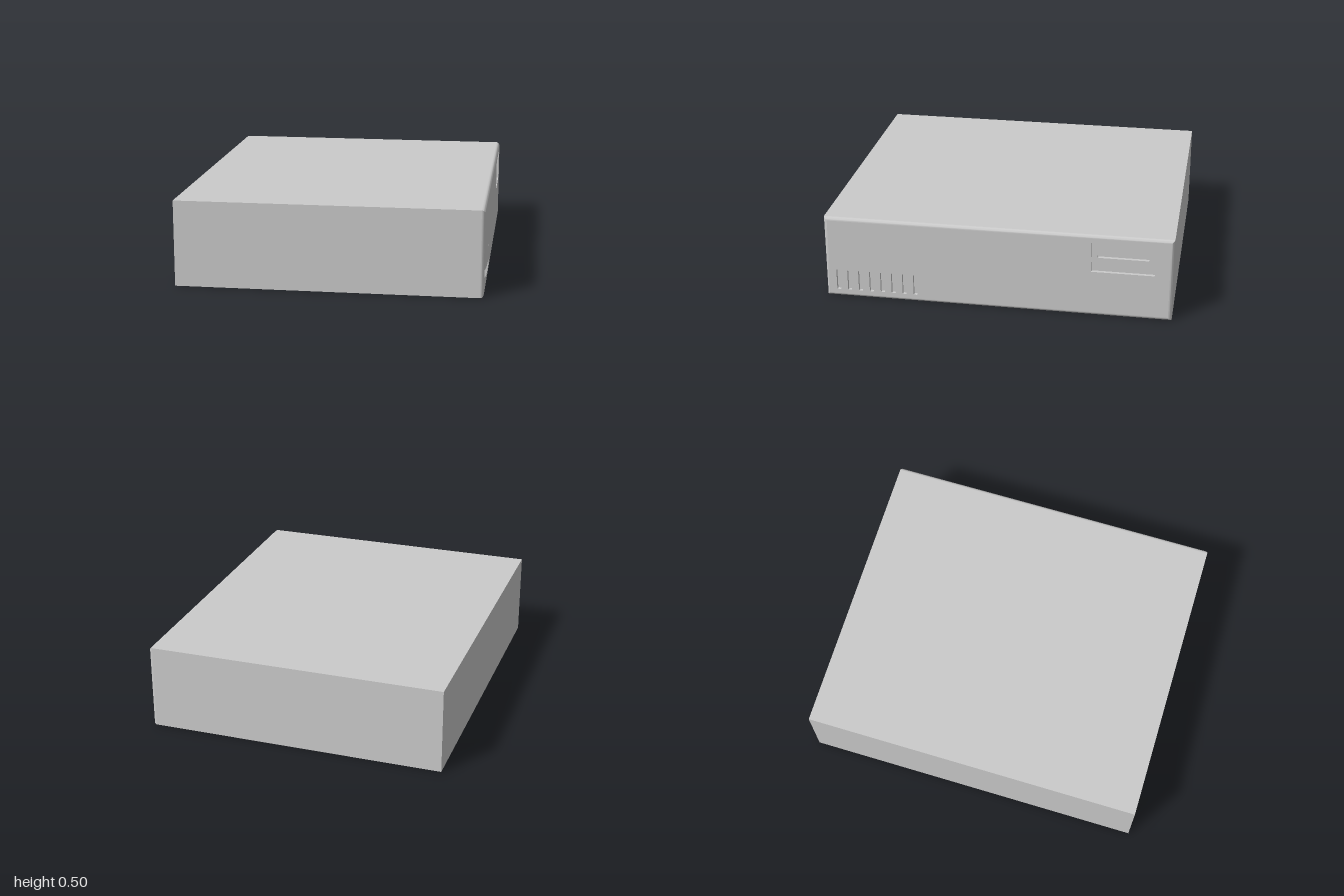
import * as THREE from 'three';
import { toCreasedNormals } from 'three/addons/utils/BufferGeometryUtils.js';

const X = 0.87, H = 0.495, Z = 1; // half width, height, half length
const R = 0.02;                   // edge rounding and recess depth

const material = new THREE.MeshStandardMaterial({ color: 0xcccccc });

function add(group, name, geometry) {
  const mesh = new THREE.Mesh(geometry, material);
  mesh.name = name;
  group.add(mesh);
}

// Rectangle on the side wall (u = -z, v = y) with optional round corners
function rect(path, u0, v0, u1, v1, r = 0) {
  if (!r) {
    path.moveTo(u0, v0).lineTo(u1, v0).lineTo(u1, v1).lineTo(u0, v1).closePath();
    return path;
  }
  path.absarc(u1 - r, v0 + r, r, -Math.PI / 2, 0);
  path.absarc(u1 - r, v1 - r, r, 0, Math.PI / 2);
  path.absarc(u0 + r, v1 - r, r, Math.PI / 2, Math.PI);
  path.absarc(u0 + r, v0 + r, r, Math.PI, Math.PI * 1.5);
  path.closePath();
  return path;
}

// Plate of thickness R standing on the +x side, starting at x
function plate(inset, holes, x) {
  const shape = rect(new THREE.Shape(), -Z + inset, inset, Z - inset, H - inset);
  shape.holes = holes;
  const g = new THREE.ExtrudeGeometry(shape, { depth: R, bevelEnabled: false, curveSegments: 4 });
  return g.rotateY(Math.PI / 2).translate(x, 0, 0);
}

// Rounded rim joining the four walls to the +x face
function rimGeometry(steps = 6) {
  const pos = [], index = [];
  for (let i = 0; i <= steps; i++) {
    const a = (i / steps) * Math.PI / 2;
    const x = X - R + R * Math.sin(a), d = R * (1 - Math.cos(a));
    pos.push(x, d, Z - d, x, d, -Z + d, x, H - d, -Z + d, x, H - d, Z - d);
  }
  for (let i = 0; i < steps; i++) {
    for (let k = 0; k < 4; k++) {
      const a = i * 4 + k, b = i * 4 + (k + 1) % 4;
      index.push(a, b, b + 4, a, b + 4, a + 4);
    }
  }
  const g = new THREE.BufferGeometry();
  g.setAttribute('position', new THREE.Float32BufferAttribute(pos, 3));
  g.setIndex(index);
  return toCreasedNormals(g, Math.PI / 6);
}

export function createModel() {
  const group = new THREE.Group();
  group.name = 'caseUnit';

  // Main body, ending behind the layered side wall
  const bodyEnd = X - 2 * R;
  add(group, 'body', new THREE.BoxGeometry(X + bodyEnd, H, 2 * Z).translate((bodyEnd - X) / 2, H / 2, 0));

  // Inner layer: floor of the recesses, with the narrow slot
  const slot = rect(new THREE.Path(), 0.572, 0.353, 0.863, 0.369, 0.007);
  add(group, 'recessFloor', plate(0, [slot], bodyEnd));

  // Outer layer: bay recess and row of vents
  const holes = [rect(new THREE.Path(), 0.54, 0.273, 0.896, 0.452)];
  for (let i = 0; i < 8; i++) {
    const u = -0.928 + i * 0.065;
    holes.push(rect(new THREE.Path(), u - 0.012, 0.043, u + 0.012, 0.168, 0.006));
  }
  add(group, 'sidePanel', plate(R, holes, X - R));
  add(group, 'roundedRim', rimGeometry());

  return group;
}
